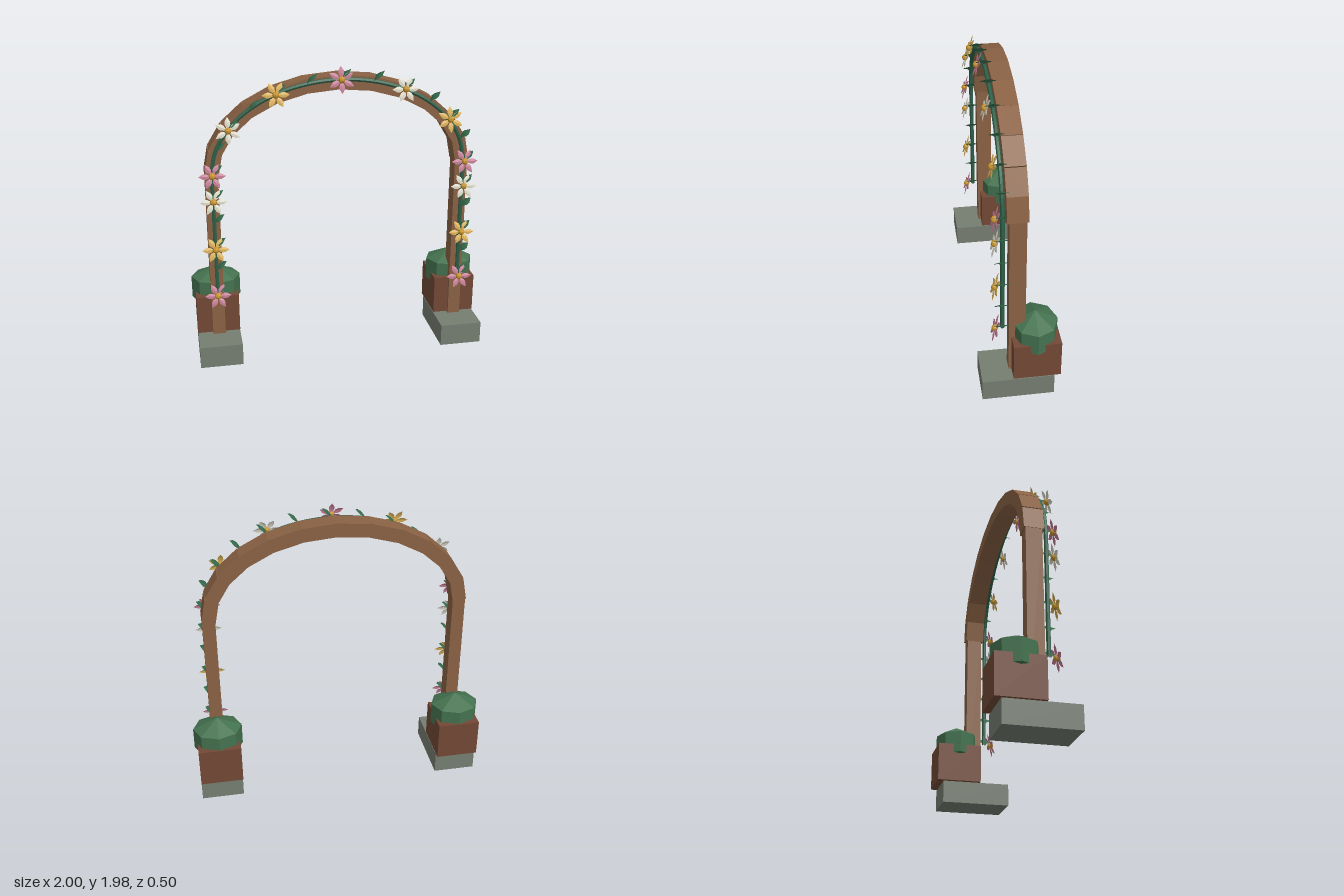
import * as THREE from 'three';

const mat = (color, side = THREE.FrontSide) =>
  new THREE.MeshStandardMaterial({ color, side, flatShading: true });

const wood = mat(0x8a6244);
const stone = mat(0x757d70);
const clay = mat(0x734836);
const bushGreen = mat(0x44724f);
const vineGreen = mat(0x2f6048);
const leafGreen = mat(0x35694a, THREE.DoubleSide);
const gold = mat(0xc8962e);
const petalMats = {
  pink: mat(0xc27a92, THREE.DoubleSide),
  white: mat(0xd8d4c4, THREE.DoubleSide),
  yellow: mat(0xd8ae55, THREE.DoubleSide),
};

function add(parent, name, geometry, material, x = 0, y = 0, z = 0) {
  const mesh = new THREE.Mesh(geometry, material);
  mesh.name = name;
  mesh.position.set(x, y, z);
  parent.add(mesh);
  return mesh;
}

// Folded blade along x, width along z; each row is [x, y, halfWidth, edgeDrop]
function blade(rows) {
  const pos = [], idx = [];
  rows.forEach(([x, y, w, drop], i) => {
    pos.push(x, y - drop, -w, x, y, 0, x, y - drop, w);
    if (i === 0) return;
    for (let j = 0; j < 2; j++) {
      const a = (i - 1) * 3 + j, b = a + 3;
      idx.push(a, a + 1, b, a + 1, b + 1, b);
    }
  });
  const g = new THREE.BufferGeometry();
  g.setAttribute('position', new THREE.Float32BufferAttribute(pos, 3));
  g.setIndex(idx);
  g.computeVertexNormals();
  return g;
}

const leafGeo = blade([
  [0, 0, 0.004, 0], [0.012, 0.024, 0.022, 0.003], [0.025, 0.042, 0.05, 0.01],
  [0.045, 0.056, 0.045, 0.01], [0.068, 0.066, 0.002, 0],
]);
const petalGeo = blade([
  [0.014, 0, 0.005, 0], [0.04, 0.005, 0.018, 0.004],
  [0.06, 0.005, 0.017, 0.004], [0.087, 0, 0.001, 0],
]).rotateX(Math.PI / 2);
const budGeo = new THREE.SphereGeometry(0.022, 8, 6);

// Point on the arch ellipse, angle measured from the top towards +x
const archPoint = (deg, rx, ry, y0, z) => {
  const a = THREE.MathUtils.degToRad(deg);
  return new THREE.Vector3(rx * Math.sin(a), y0 + ry * Math.cos(a), z);
};
const vinePoint = (deg) => archPoint(deg, 0.832, 0.585, 1.305, 0.105);

function addFlower(parent, color, p, turn) {
  const flower = new THREE.Group();
  flower.name = 'flower';
  flower.position.set(p.x, p.y, 0.15);
  flower.rotation.x = -0.35;
  for (let i = 0; i < 6; i++) {
    add(flower, 'petal', petalGeo, petalMats[color]).rotation.z = turn + i * Math.PI / 3;
  }
  add(flower, 'flowerCentre', budGeo, gold, 0, 0, 0.004);
  parent.add(flower);
}

export function createModel() {
  const model = new THREE.Group();
  model.name = 'flowerArch';

  // Footings, planters, bushes and posts on both sides
  for (const s of [-1, 1]) {
    const side = new THREE.Group();
    side.name = s > 0 ? 'leftSupport' : 'rightSupport';
    side.position.x = s * 0.833;
    add(side, 'footing', new THREE.BoxGeometry(0.285, 0.15, 0.465), stone, 0, 0.075, 0.02);
    add(side, 'planter', new THREE.BoxGeometry(0.286, 0.265, 0.305), clay, 0, 0.29, -0.1);
    const bush = add(side, 'bush', new THREE.SphereGeometry(0.19, 8, 3), bushGreen, 0, 0.44, -0.1);
    bush.scale.set(1, 0.79, 0.885);
    add(side, 'post', new THREE.BoxGeometry(0.085, 1.16, 0.105), wood, 0, 0.73, 0.018);
    model.add(side);
  }

  // Arch of straight beams between points of an ellipse
  const arch = new THREE.Group();
  arch.name = 'arch';
  for (let d = -90; d < 90; d += 15) {
    const a = archPoint(d, 0.832, 0.568, 1.3, 0.02);
    const b = archPoint(d + 15, 0.832, 0.568, 1.3, 0.02);
    const mid = a.clone().add(b).multiplyScalar(0.5);
    const beam = add(arch, 'archBeam', new THREE.BoxGeometry(a.distanceTo(b) + 0.008, 0.092, 0.13),
      wood, mid.x, mid.y, mid.z);
    beam.rotation.z = Math.atan2(b.y - a.y, b.x - a.x);
  }
  model.add(arch);

  // Stations along the vine: up one post, over the arch, down the other
  const postYs = [0.475, 0.641, 0.807, 0.973, 1.139];
  const stations = postYs.map((y) => new THREE.Vector3(-0.832, y, 0.105));
  for (let d = -90; d <= 90; d += 15) stations.push(vinePoint(d));
  for (const y of [...postYs].reverse()) stations.push(new THREE.Vector3(0.832, y, 0.105));

  // Vine stem
  const stem = new THREE.CatmullRomCurve3(stations);
  add(model, 'vine', new THREE.TubeGeometry(stem, 96, 0.014, 6), vineGreen);

  // Leaves at every station
  const leaves = new THREE.Group();
  leaves.name = 'leaves';
  for (const p of stations) add(leaves, 'leaf', leafGeo, leafGreen, p.x, p.y, 0.112);
  model.add(leaves);

  // Flowers at every second station
  const flowers = new THREE.Group();
  flowers.name = 'flowers';
  const postColors = ['pink', 'yellow', 'white'];
  for (const s of [-1, 1]) {
    postColors.forEach((c, i) =>
      addFlower(flowers, c, new THREE.Vector3(s * 0.832, postYs[i * 2], 0), 0));
  }
  const archColors = ['pink', 'white', 'yellow'];
  for (let i = 0; i < 7; i++) {
    const d = -90 + i * 30;
    addFlower(flowers, archColors[i % 3], vinePoint(d).setY(vinePoint(d).y + 0.008),
      THREE.MathUtils.degToRad(30 - d));
  }
  model.add(flowers);
  return model;
}
